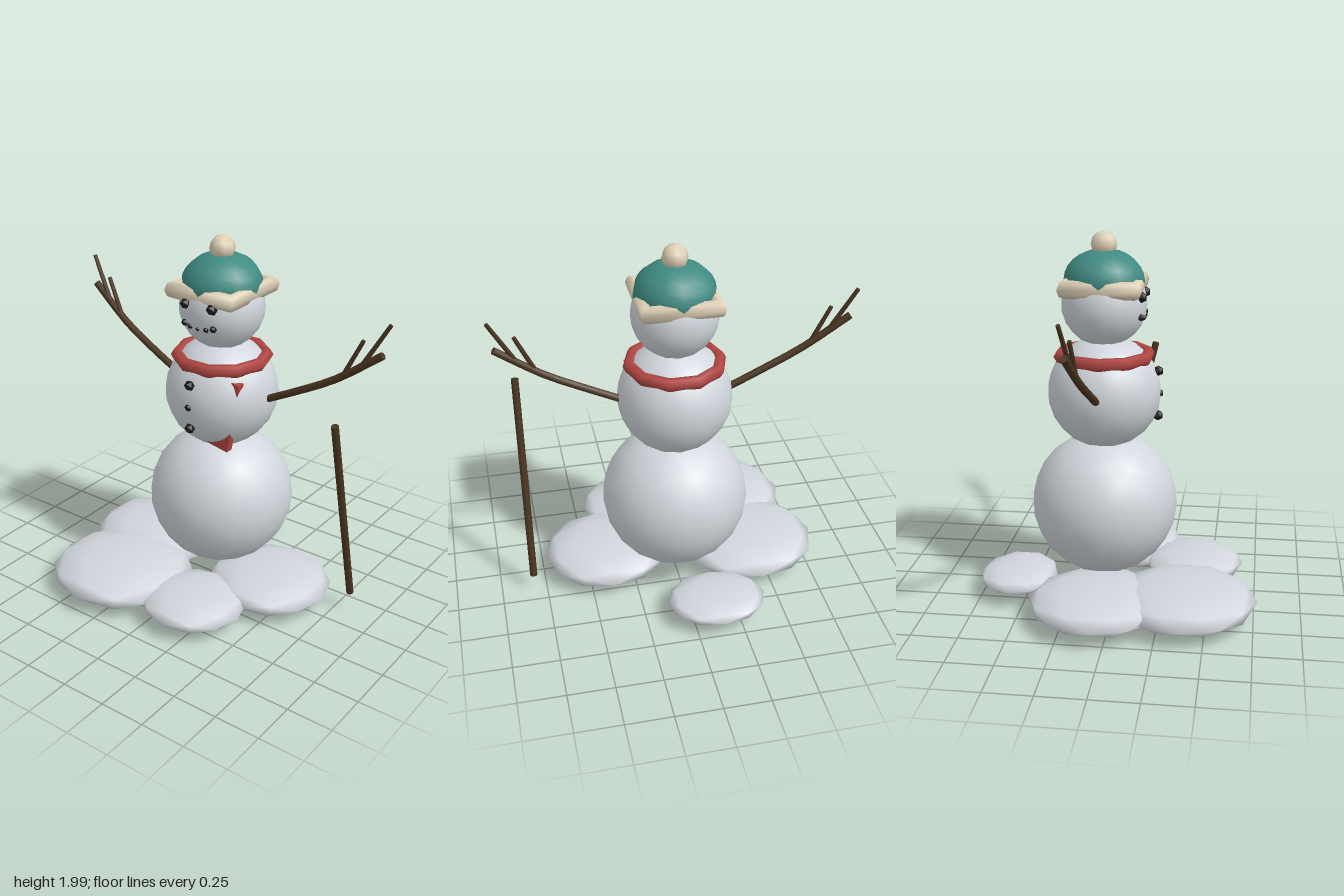
import * as THREE from 'three';

const paint = (name, color) => {
  const m = new THREE.MeshStandardMaterial({ color });
  m.name = name;
  return m;
};

export function createModel() {
  const snow = paint('snow', 0xd0d6dc);
  const cream = paint('cream wool', 0xded0b5);
  const teal = paint('teal wool', 0x3f8a82);
  const red = paint('red scarf', 0xb04642);
  const wood = paint('wood', 0x4a3521);
  const coal = paint('coal', 0x1c1a1b);
  const model = new THREE.Group();
  model.name = 'snowman';
  const Z = -0.09; // depth of the body axis

  const add = (name, geometry, material, x = 0, y = 0, z = 0, parent = model) => {
    const mesh = new THREE.Mesh(geometry, material);
    mesh.name = name;
    mesh.position.set(x, y, z);
    parent.add(mesh);
    return mesh;
  };
  // Straight round stick between two points
  const stick = (name, a, b, r0, r1, parent) => {
    const from = new THREE.Vector3(...a), to = new THREE.Vector3(...b);
    const dir = to.clone().sub(from);
    const mesh = add(name, new THREE.CylinderGeometry(r1, r0, dir.length(), 8), wood, 0, 0, 0, parent);
    mesh.position.copy(from).add(to).multiplyScalar(0.5);
    mesh.quaternion.setFromUnitVectors(new THREE.Vector3(0, 1, 0), dir.normalize());
  };

  // Three snowballs
  add('lowerBody', new THREE.IcosahedronGeometry(0.4, 3), snow, 0, 0.51, Z);
  add('upperBody', new THREE.IcosahedronGeometry(0.307, 3), snow, 0, 1.14, Z);
  add('head', new THREE.IcosahedronGeometry(0.229, 3), snow, 0, 1.62, Z);

  // Flattened snow mounds: x, y, z, half width, half height, half depth
  [
    [-0.35, 0.105, 0.38, 0.4, 0.098, 0.39],
    [-0.43, 0.105, -0.07, 0.385, 0.09, 0.37],
    [0.39, 0.105, -0.01, 0.345, 0.088, 0.33],
    [0.17, 0.1, 0.4, 0.29, 0.075, 0.28],
    [-0.135, 0.105, -0.555, 0.268, 0.055, 0.215],
  ].forEach(([x, y, z, w, h, d], i) => {
    const mound = add('snowMound' + (i + 1), new THREE.IcosahedronGeometry(1, 1), snow, x, y, z);
    mound.scale.set(w, h, d);
  });

  // Hat: cap, square rolled brim and bobble
  const cap = add('hatCap', new THREE.SphereGeometry(0.216, 12, 8, 0, Math.PI * 2, 0, Math.PI * 0.56), teal, 0, 1.74, Z);
  cap.scale.y = 0.168 / 0.216;
  const brim = add('hatBrim', new THREE.TorusGeometry(0.257, 0.048, 8, 4), cream, 0, 1.718, Z);
  brim.rotation.set(Math.PI / 2, 0, Math.PI / 4);
  add('hatBobble', new THREE.SphereGeometry(0.07, 8, 6), cream, 0, 1.93, Z);

  // Scarf ring and its hanging end, mostly sunk in the snow
  const scarf = add('scarfRing', new THREE.TorusGeometry(0.24, 0.035, 6, 10), red, 0, 1.34, Z);
  scarf.rotation.x = Math.PI / 2;
  const tail = add('scarfTail', new THREE.BoxGeometry(0.14, 0.41, 0.045), red, 0.134, 1.09, 0.073);
  tail.rotation.z = -0.18;

  // Coal eyes, mouth and buttons: x, y, z, radius
  const lumps = (name, list) => list.forEach(([x, y, z, r]) =>
    add(name, new THREE.IcosahedronGeometry(r, 0), coal, x, y, z));
  for (const s of [-1, 1]) {
    lumps('eye', [[s * 0.083, 1.67, 0.117, 0.031]]);
    lumps('mouthCoal', [[s * 0.09, 1.565, 0.115, 0.02], [s * 0.05, 1.556, 0.122, 0.016]]);
  }
  lumps('mouthCoal', [[0, 1.552, 0.124, 0.013]]);
  lumps('button', [[0, 1.26, 0.2, 0.029], [0, 1.138, 0.207, 0.024], [0, 1.013, 0.2, 0.029]]);

  // Branch arms, each a bent bough with two twigs
  for (const s of [-1, 1]) {
    const arm = new THREE.Group();
    arm.name = s > 0 ? 'leftArm' : 'rightArm';
    model.add(arm);
    const p = (x, y, z) => [s * x, y, z];
    const curve = new THREE.CatmullRomCurve3([
      p(0.26, 1.14, -0.092), p(0.45, 1.235, -0.1), p(0.68, 1.36, -0.115), p(0.925, 1.54, -0.143),
    ].map((v) => new THREE.Vector3(...v)));
    add('bough', new THREE.TubeGeometry(curve, 8, 0.02, 8), wood, 0, 0, 0, arm);
    // Cut end of the bough
    const cut = add('boughEnd', new THREE.CircleGeometry(0.02, 8), wood, 0, 0, 0, arm);
    cut.position.copy(curve.getPoint(1));
    cut.quaternion.setFromUnitVectors(new THREE.Vector3(0, 0, 1), curve.getTangent(1));
    stick('innerTwig', p(0.725, 1.395, -0.12), p(0.82, 1.597, -0.135), 0.013, 0.011, arm);
    stick('outerTwig', p(0.825, 1.475, -0.132), p(0.948, 1.697, -0.163), 0.013, 0.011, arm);
  }

  // Loose pole leaning beside the body
  stick('pole', [0.82, 0.107, -0.16], [0.82, 1.227, 0.108], 0.02, 0.02, model);

  return model;
}
